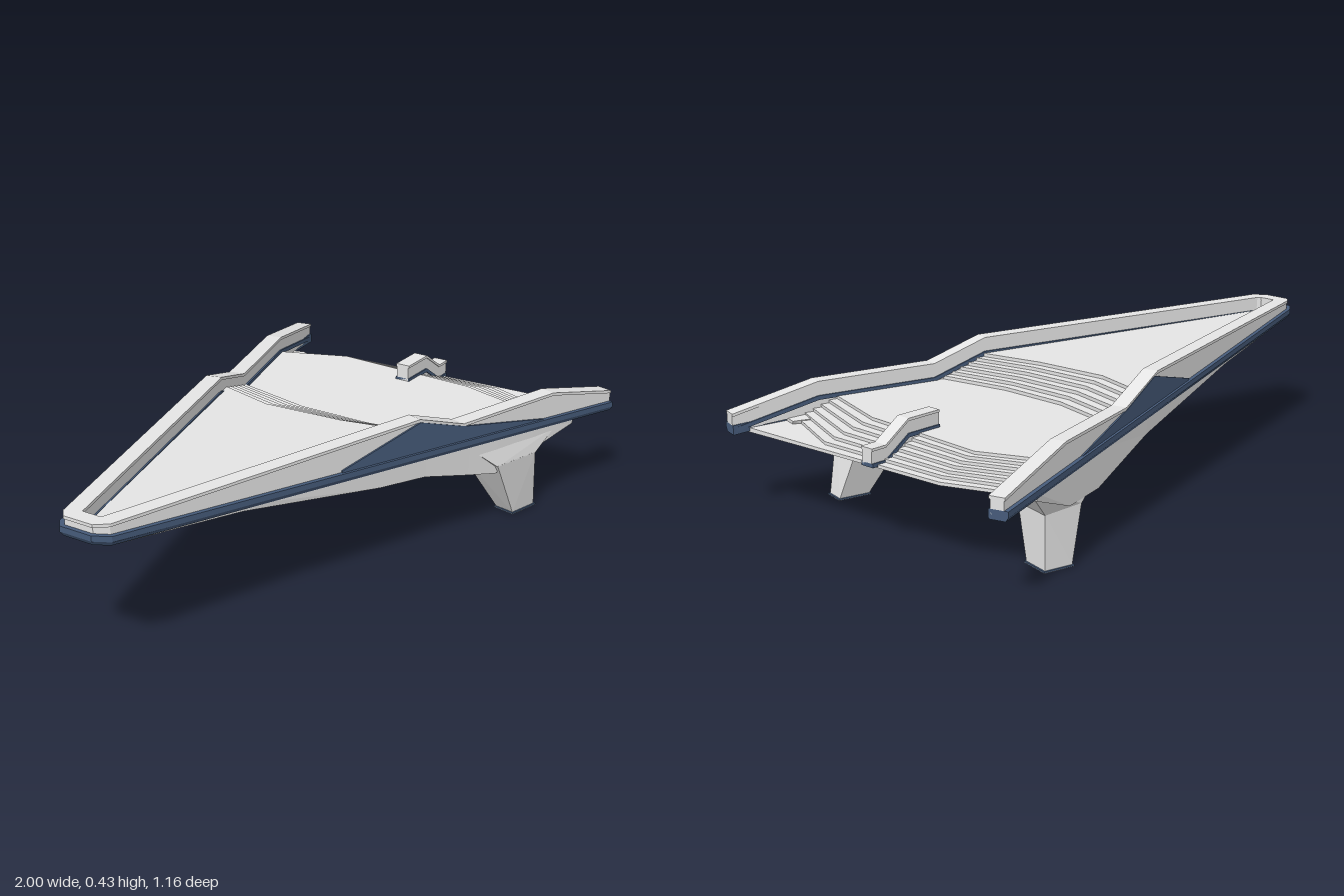
import * as THREE from 'three';
import { ConvexGeometry } from 'three/addons/geometries/ConvexGeometry.js';

const mat = (name, color) => Object.assign(new THREE.MeshStandardMaterial({ color }), { name });

// Flat-faced skin over rows of [x, y, z] points
function grid(rows, closed = false) {
  const pos = [];
  const quad = (a, b, c, d) => pos.push(...a, ...b, ...c, ...a, ...c, ...d);
  for (let i = 0; i < rows.length - 1; i++) {
    const n = rows[i].length;
    for (let j = 0; j < (closed ? n : n - 1); j++) {
      const k = (j + 1) % n;
      quad(rows[i][j], rows[i][k], rows[i + 1][k], rows[i + 1][j]);
    }
  }
  if (closed) { // end caps of four-sided sections
    const [a, b, c, d] = rows[0];
    quad(d, c, b, a);
    quad(...rows[rows.length - 1]);
  }
  const g = new THREE.BufferGeometry();
  g.setAttribute('position', new THREE.Float32BufferAttribute(pos, 3));
  g.computeVertexNormals();
  return g;
}

// Sweeps four-sided sections of [outward offset, y] along a mitred ground path
function sweep(path, section) {
  const dir = (a, b) => new THREE.Vector2(b[0] - a[0], b[1] - a[1]).normalize();
  const last = path.length - 1;
  return grid(path.map((p, i) => {
    const d0 = dir(path[Math.max(i - 1, 0)], path[Math.max(i, 1)]);
    const d1 = dir(path[Math.min(i, last - 1)], path[Math.min(i + 1, last)]);
    const m = d0.clone().add(d1).normalize();
    const s = 1 / m.dot(d0);
    return section(p, i === 0 || i === last)
      .map(([o, y]) => [p[0] + m.y * o * s, y, p[1] - m.x * o * s]);
  }), true);
}
const box = (inner, outer, bottom, top) =>
  [[inner, bottom], [outer, bottom], [outer, top], [inner, top]];

// Tapered block between two four-cornered outlines
const taper = (low, yLow, high, yHigh) => new ConvexGeometry([
  ...low.map(([x, z]) => new THREE.Vector3(x, yLow, z)),
  ...high.map(([x, z]) => new THREE.Vector3(x, yHigh, z)),
]);

const frontZ = x => 0.513 + 0.0508 * x;
const backZ = x => -0.188 - 0.531 * x;
const baseFront = x => 0.378 - 0.065 * (x + 1);
const baseBack = x => 0.378 - 0.075 * (x + 1);

export function createModel() {
  const root = new THREE.Group();
  const grey = mat('light grey', 0xe5e5e5);
  const blue = mat('trim blue', 0x465b7a);
  const add = (name, geometry, material) => {
    const m = new THREE.Mesh(geometry, material);
    m.name = name;
    root.add(m);
  };

  // Parapet: one path round the front edge, nose and back edge: [x, z, top, base]
  const front = (x, top) => [x, frontZ(x), top, baseFront(x)];
  const back = (x, top) => [x, backZ(x), top, baseBack(x)];
  const edge = [
    front(0.995, 0.31), front(0.72, 0.37), front(0.33, 0.37), front(0.15, 0.43),
    front(-0.93, 0.43), [-0.965, 0.44, 0.43, 0.378], [-0.985, 0.35, 0.43, 0.378],
    back(-0.965, 0.43), back(-0.06, 0.43), back(0.12, 0.37), back(0.44, 0.37), back(0.73, 0.31),
  ];
  add('parapetWall', sweep(edge, p => box(-0.042, 0, p[3] + 0.01, p[2])), grey);
  add('parapetCap', sweep(edge, p => box(-0.046, 0.003, p[2] - 0.006, p[2] + 0.003)), grey);

  // Chamfered edge band, wrapping the full wall thickness only at its two ends
  const inner = end => (end ? -0.048 : -0.02);
  add('edgeBandUpper', sweep(edge, (p, end) => box(inner(end), 0.013, p[3] + 0.013, p[3] + 0.029)), blue);
  add('edgeBandLower', sweep(edge, (p, end) =>
    [[inner(end), p[3]], [0.004, p[3]], [0.013, p[3] + 0.013], [inner(end), p[3] + 0.013]]), blue);
  add('innerSkirting', sweep(edge, p => box(-0.047, -0.04, p[2] - 0.055, p[2] - 0.042)), blue);

  // Painted panels on the outer faces of the parapet
  const panel = pts => sweep(pts, p => box(-0.002, 0.005, p[3] + 0.02, p[2]));
  add('frontPanel', panel([
    front(0.68, baseFront(0.68) + 0.03), front(0.33, 0.366), front(0.15, 0.424),
    front(-0.15, baseFront(-0.15) + 0.035)]), blue);
  add('backPanel', panel([
    back(-0.25, baseBack(-0.25) + 0.035), back(-0.04, 0.422), back(0.12, 0.366),
    back(0.36, baseBack(0.36) + 0.03)]), blue);

  // Deck: three terraces joined by two flights of angled steps
  const curve = (xb, p, q, xf) =>
    [[xb, backZ(xb) + 0.025], p, q, [xf, frontZ(xf) - 0.02]];
  const mix = (a, b, t) => a.map((p, i) => p.map((v, k) => v + (b[i][k] - v) * t));
  const flights = [
    { from: curve(0.01, [0.0, 0.04], [0.07, 0.28], 0.17),
      to: curve(0.16, [0.16, 0.03], [0.21, 0.26], 0.31), top: 0.382, bottom: 0.318 },
    { from: curve(0.46, [0.6, -0.21], [0.68, 0.24], 0.66),
      to: curve(0.56, [0.71, -0.22], [0.835, 0.24], 0.79), top: 0.318, bottom: 0.262 },
  ];
  const nose = [[-0.95, 0.34], [-0.965, 0.37], [-0.96, 0.41], [-0.94, 0.445]];
  const tail = curve(0.58, [0.73, -0.24], [0.86, 0.21], 0.95);
  const at = (c, y) => c.map(([x, z]) => [x, y, z]);
  const below = (c, y) => c.map(([x, z]) => [x, Math.min(0.312 - 0.0675 * x, y - 0.01), z]);
  const tops = [at(nose, 0.388)];
  const unders = [below(nose, 0.388)];
  const STEPS = 5;
  for (const f of flights) {
    for (let i = 0; i <= STEPS; i++) {
      const c = mix(f.from, f.to, i / STEPS);
      const drop = (f.top - f.bottom) / (STEPS + 1);
      tops.push(at(c, f.top - drop * i), at(c, f.top - drop * (i + 1)));
      if (i === 0 || i === STEPS) unders.push(below(c, f.top - drop * (i + 1)));
    }
  }
  tops.push(at(tail, 0.262));
  unders.push(below(tail, 0.262));
  tops.push(unders[unders.length - 1]);
  add('steppedDeck', grid(tops), grey);
  add('deckUnderside', grid(unders.reverse()), grey);

  // Handrail wall in the middle of the lower steps: [x, z, top, bottom]
  const rail = [[0.57, 0.066, 0.368, 0.3], [0.685, 0.039, 0.368, 0.285],
    [0.77, 0.019, 0.31, 0.257], [0.82, 0.007, 0.31, 0.257]];
  add('stepRail', sweep(rail, p => box(-0.02, 0.02, p[3], p[2])), grey);
  add('stepRailCap', sweep(rail, p => box(-0.023, 0.023, p[2] - 0.006, p[2] + 0.002)), grey);
  add('stepRailTrim', sweep(rail, p => box(-0.024, 0.024, p[2] - 0.054, p[2] - 0.042)), blue);

  // Hull beams under both long edges: [x, z, base, bottom, width]
  const beamSection = ([, , base, bottom, w]) =>
    [[-w * 0.8, bottom], [0, bottom], [0.003, base + 0.012], [-w, base + 0.012]];
  const frontBeam = [[0.82, 0.247, 0.08], [0.64, 0.205, 0.13], [0.48, 0.172, 0.14],
    [0.36, 0.2, 0.13], [0.18, 0.245, 0.12], [0, 0.262, 0.11], [-0.5, 0.338, 0.07], [-0.9, 0.369, 0.04]];
  add('frontHullBeam', sweep(frontBeam.map(([x, y, w]) =>
    [x, frontZ(x), baseFront(x), y, w]), beamSection), grey);
  const backBeam = [[-0.9, 0.368, 0.04], [-0.5, 0.332, 0.08], [0, 0.255, 0.13], [0.27, 0.18, 0.15],
    [0.42, 0.18, 0.15], [0.58, 0.25, 0.08]];
  add('backHullBeam', sweep(backBeam.map(([x, y, w]) =>
    [x, backZ(x), baseBack(x), y, w]), beamSection), grey);

  // Splayed legs with flared tops
  const rect = (x0, x1, z0, z1) => [[x0, z0], [x1, z0], [x1, z1], [x0, z1]];
  const leg = (name, foot, knee, yKnee, hip, yHip) => {
    add(name, taper(foot, 0.003, knee, yKnee), grey);
    add(name + 'Top', taper(knee, yKnee - 0.002, hip, yHip), grey);
  };
  leg('frontLeg', rect(0.59, 0.69, 0.46, 0.525),
    [[0.47, 0.405], [0.64, 0.405], [0.645, 0.555], [0.475, 0.55]], 0.2,
    [[0.4, 0.39], [0.72, 0.39], [0.74, 0.55], [0.4, 0.535]], 0.255);
  leg('backLeg', rect(0.41, 0.5, -0.405, -0.31),
    [[0.27, -0.2], [0.5, -0.27], [0.5, -0.41], [0.36, -0.38]], 0.17,
    [[0.1, -0.08], [0.55, -0.24], [0.585, -0.475], [0.2, -0.29]], 0.265);

  // Foot plates: grey sole with a thin blue rim
  for (const [name, x0, x1, z0, z1] of [
    ['frontFoot', 0.585, 0.695, 0.455, 0.53], ['backFoot', 0.405, 0.505, -0.41, -0.305]]) {
    const outline = rect(x0, x1, z0, z1);
    add(name + 'Sole', taper(outline, 0, outline, 0.001), grey);
    add(name + 'Rim', taper(outline, 0.001, outline, 0.005), blue);
  }

  // Cross beams tying the two hull beams together
  [[[0.57, 0.45], [0.47, -0.3], 0.246], [[0.28, 0.45], [0.13, -0.2], 0.256]].forEach(([a, b, y]) =>
    add('crossBeam', sweep([a, b], () => box(-0.018, 0.018, y, y + 0.045)), grey));

  return root;
}
